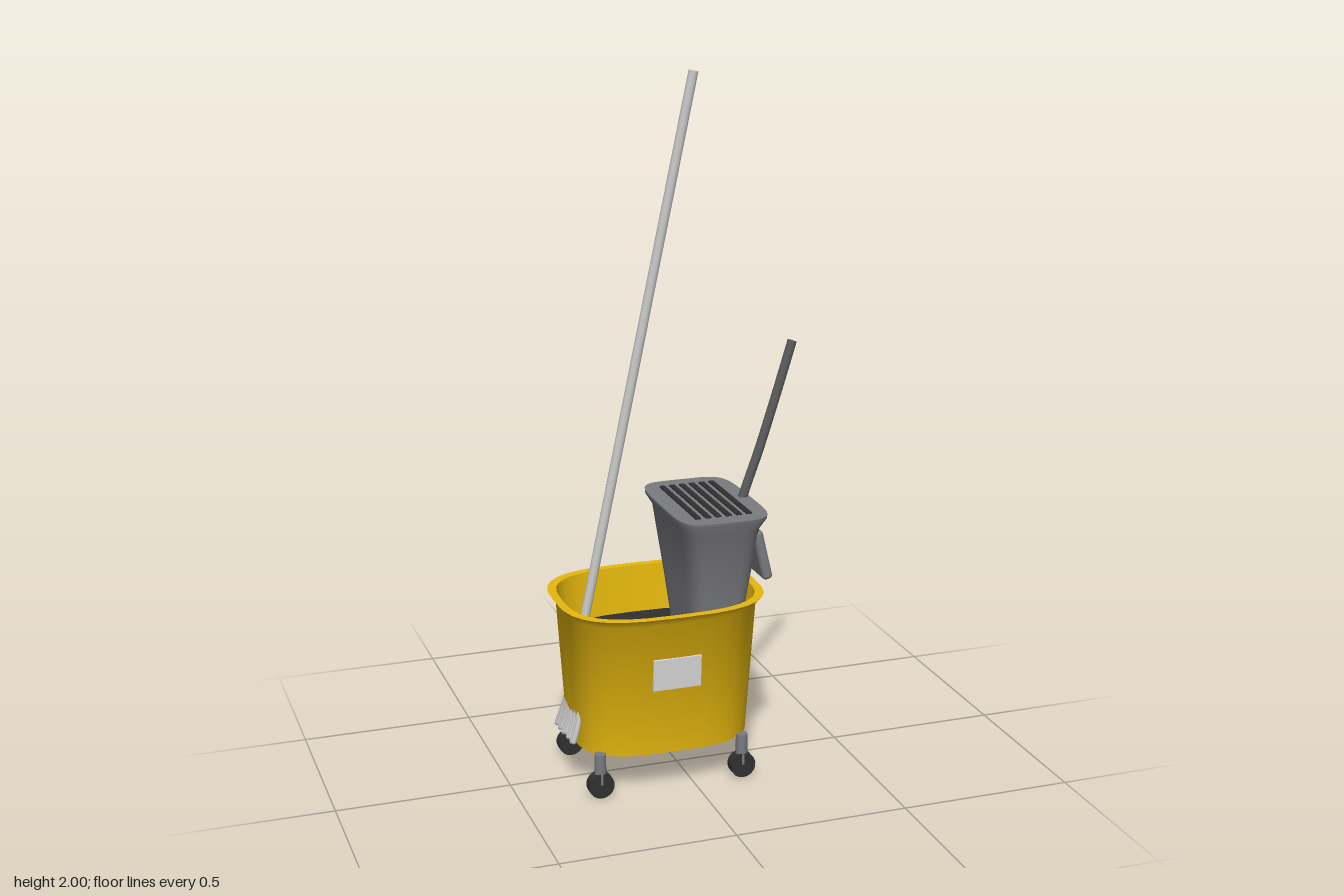
import * as THREE from 'three';
import { toCreasedNormals } from 'three/addons/utils/BufferGeometryUtils.js';
import { RoundedBoxGeometry } from 'three/addons/geometries/RoundedBoxGeometry.js';

const material = (name, color) => {
  const m = new THREE.MeshStandardMaterial({ color });
  m.name = name;
  return m;
};

// Stacked superellipse rings [y, halfX, halfZ]; rings run up the outside, then inward
function loft(rings, power, segments = 32) {
  const positions = [], index = [];
  const bend = v => Math.sign(v) * Math.pow(Math.abs(v), 2 / power);
  for (const [y, hx, hz] of rings) {
    for (let j = 0; j < segments; j++) {
      const t = (j / segments) * Math.PI * 2;
      positions.push(hx * bend(Math.cos(t)), y, hz * bend(Math.sin(t)));
    }
  }
  for (let i = 0; i < rings.length - 1; i++) {
    for (let j = 0; j < segments; j++) {
      const k = (j + 1) % segments;
      const a = i * segments + j, b = i * segments + k;
      const c = a + segments, d = b + segments;
      index.push(a, c, b, b, c, d);
    }
  }
  const geometry = new THREE.BufferGeometry();
  geometry.setAttribute('position', new THREE.Float32BufferAttribute(positions, 3));
  geometry.setIndex(index);
  return toCreasedNormals(geometry, 0.75);
}

export function createModel() {
  const yellow = material('yellow plastic', 0xe6b80e);
  const grey = material('grey plastic', 0x7a7b80);
  const darkGrey = material('dark grey lever', 0x5a5b5e);
  const black = material('black', 0x303030);
  const silver = material('light grey handle', 0xc6c6c6);
  const white = material('pale label', 0xdadada);

  const model = new THREE.Group();
  model.name = 'mopBucket';
  const add = (name, geometry, mat, x = 0, y = 0, z = 0) => {
    const mesh = new THREE.Mesh(geometry, mat);
    mesh.name = name;
    mesh.position.set(x, y, z);
    model.add(mesh);
    return mesh;
  };
  // Straight round bar between two points
  const rod = (name, a, b, radius, mat) => {
    const dir = b.clone().sub(a);
    const mesh = add(name, new THREE.CylinderGeometry(radius, radius, dir.length(), 16), mat);
    mesh.position.copy(a).add(b).multiplyScalar(0.5);
    mesh.quaternion.setFromUnitVectors(new THREE.Vector3(0, 1, 0), dir.normalize());
    return mesh;
  };
  const V = (x, y, z = 0) => new THREE.Vector3(x, y, z);

  // Bucket shell with flared rim and inner wall, filled with dark water
  const bucketX = -0.064;
  add('bucket', loft([
    [0.12, 0, 0], [0.12, 0.2515, 0.185], [0.515, 0.277, 0.213],
    [0.54, 0.298, 0.236], [0.54, 0.274, 0.212], [0.38, 0.261, 0.199],
  ], 3), yellow, bucketX);
  add('water', loft([[0.4, 0.265, 0.203], [0.4, 0, 0]], 3), black, bucketX);

  // Label on the front wall, leaning with it
  const label = add('label', new THREE.BoxGeometry(0.14, 0.093, 0.008), white, -0.068, 0.365, 0.203);
  label.rotation.x = 0.071;

  // Four casters
  for (const x of [-0.278, 0.145]) {
    for (const z of [-0.152, 0.152]) {
      add('casterStem', new THREE.CylinderGeometry(0.017, 0.017, 0.09, 12), grey, x, 0.085, z);
      const wheel = add('casterWheel', new THREE.CylinderGeometry(0.037, 0.037, 0.032, 18), black, x, 0.037, z);
      wheel.rotation.x = Math.PI / 2;
    }
  }

  // Wringer body with flared lip
  add('wringer', loft([
    [0.36, 0, 0], [0.36, 0.064, 0.13], [0.54, 0.086, 0.158], [0.75, 0.115, 0.194],
    [0.78, 0.133, 0.21], [0.79, 0.134, 0.211], [0.79, 0, 0],
  ], 5, 40), grey, 0.085);

  // Dark slots in the wringer top
  for (let i = 0; i < 6; i++) {
    add('wringerSlot', new THREE.BoxGeometry(0.016, 0.008, 0.314), black, 0.01 + i * 0.03, 0.79, 0);
  }

  // Press plate leaning outward at the bottom
  const plate = add('pressPlate', new RoundedBoxGeometry(0.03, 0.15, 0.35, 3, 0.012), grey, 0.197, 0.668, 0);
  plate.rotation.z = 0.23;

  // Curved lever
  const leverPath = new THREE.CatmullRomCurve3([
    V(0.175, 0.7), V(0.2, 0.79), V(0.246, 0.92), V(0.294, 1.07), V(0.344, 1.234),
  ]);
  add('lever', new THREE.TubeGeometry(leverPath, 24, 0.0135, 14), darkGrey);
  const leverEnd = leverPath.getPoint(1);
  rod('leverCap', leverEnd.clone().addScaledVector(leverPath.getTangent(1), -0.004), leverEnd, 0.0135, darkGrey);

  // Mop handle
  rod('mopHandle', V(-0.301, 0.35), V(0.048, 1.997), 0.0135, silver);

  // Mop strands fanning out against the end wall
  for (const [endX, endY] of [[-0.335, 0.14], [-0.25, 0.135]]) {
    for (let i = -5; i <= 5; i++) {
      const z = i * 0.017;
      const end = V(endX, endY + 0.006 * (i % 2), z);
      const path = new THREE.QuadraticBezierCurve3(V(-0.3, 0.36), V(-0.295, 0.25, z * 0.9), end);
      add('mopStrand', new THREE.TubeGeometry(path, 10, 0.008, 8), silver);
      add('mopStrandTip', new THREE.SphereGeometry(0.008, 8, 6), silver, end.x, end.y, end.z);
    }
  }

  return model;
}
